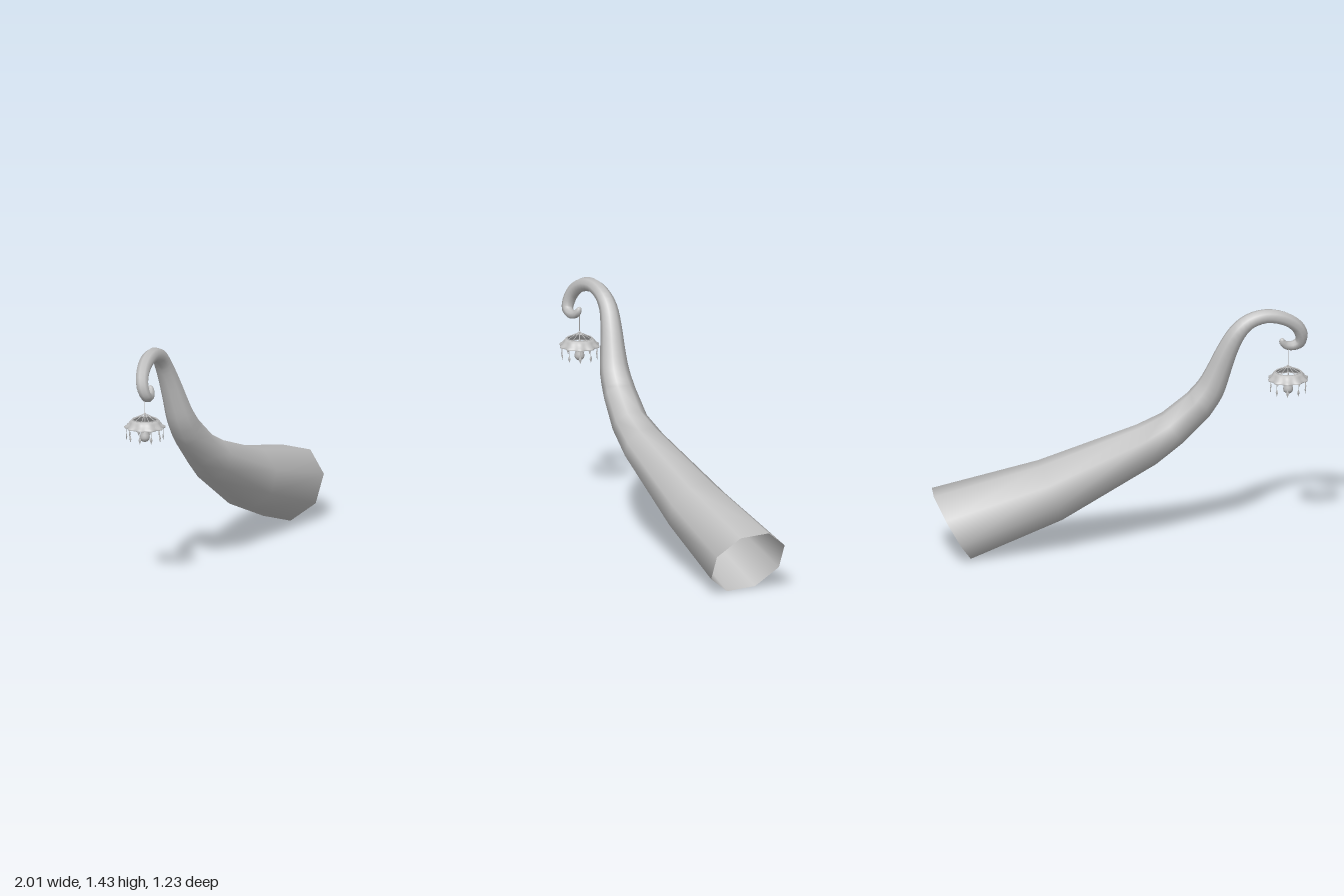
import * as THREE from 'three';

const V = (x, y, z) => new THREE.Vector3(x, y, z);

// Skin a ring of sides around a list of stations {p, r}
function hornGeometry(stations, sides, startNormal, startSide) {
  const pos = [], idx = [], u = startSide.clone();
  stations.forEach(({ p, r }, i) => {
    const prev = stations[Math.max(i - 1, 0)].p;
    const next = stations[Math.min(i + 1, stations.length - 1)].p;
    const t = i === 0 ? startNormal.clone().normalize() : next.clone().sub(prev).normalize();
    u.addScaledVector(t, -u.dot(t)).normalize();
    const v = t.clone().cross(u);
    for (let j = 0; j < sides; j++) {
      const a = (j / sides) * Math.PI * 2;
      const q = p.clone().addScaledVector(u, Math.cos(a) * r).addScaledVector(v, Math.sin(a) * r);
      pos.push(q.x, q.y, q.z);
      if (i === 0) continue;
      const k = (j + 1) % sides, lo = (i - 1) * sides, hi = i * sides;
      idx.push(lo + j, lo + k, hi + j, lo + k, hi + k, hi + j);
    }
  });
  const g = new THREE.BufferGeometry();
  g.setAttribute('position', new THREE.Float32BufferAttribute(pos, 3));
  g.setIndex(idx);
  g.computeVertexNormals();
  return g;
}

export function createModel() {
  const model = new THREE.Group();
  model.name = 'hornLantern';
  const grey = new THREE.MeshStandardMaterial({ color: 0xc0c0c0, side: THREE.DoubleSide });
  grey.name = 'grey';

  const add = (parent, name, geometry) => {
    const m = new THREE.Mesh(geometry, grey);
    m.name = name;
    parent.add(m);
    return m;
  };
  const wire = (parent, name, a, b, r) => {
    const m = add(parent, name, new THREE.CylinderGeometry(r, r, a.distanceTo(b), 6));
    m.position.copy(a).add(b).multiplyScalar(0.5);
    m.quaternion.setFromUnitVectors(V(0, 1, 0), b.clone().sub(a).normalize());
    return m;
  };

  // Horn: coarse rings on the wide trunk, fine rings around the curl (x, y, z, radius)
  const trunk = [
    [0.87, 0.205, -0.395, 0.236], [0.36, 0.38, -0.12, 0.188], [-0.13, 0.625, 0.165, 0.129],
    [-0.265, 0.72, 0.24, 0.108],
  ];
  const curl = [
    [-0.4, 0.855, 0.292, 0.096], [-0.47, 0.96, 0.318, 0.086], [-0.52, 1.08, 0.328, 0.073],
    [-0.57, 1.205, 0.335, 0.062], [-0.625, 1.31, 0.35, 0.053], [-0.685, 1.372, 0.383, 0.046],
    [-0.77, 1.399, 0.432, 0.042], [-0.86, 1.378, 0.487, 0.041], [-0.922, 1.325, 0.535, 0.039],
    [-0.942, 1.26, 0.564, 0.037], [-0.927, 1.212, 0.572, 0.033], [-0.89, 1.193, 0.555, 0.028],
    [-0.858, 1.2, 0.53, 0.024], [-0.843, 1.222, 0.513, 0.02], [-0.842, 1.24, 0.507, 0.014],
    [-0.842, 1.25, 0.505, 0.0005],
  ];
  const stations = trunk.map(([x, y, z, r]) => ({ p: V(x, y, z), r }));
  const path = new THREE.CatmullRomCurve3(curl.map(([x, y, z]) => V(x, y, z)));
  const steps = (curl.length - 1) * 3;
  for (let i = 0; i <= steps; i++) {
    const f = (i / steps) * (curl.length - 1), k = Math.min(Math.floor(f), curl.length - 2);
    stations.push({
      p: path.getPoint(i / steps),
      r: THREE.MathUtils.lerp(curl[k][3], curl[k + 1][3], f - k),
    });
  }
  add(model, 'horn', hornGeometry(stations, 8, V(-0.79, 0.49, 0.36), V(0.13, 0.19, 0.05)));

  // Lamp hanging from the curl
  const lamp = new THREE.Group();
  lamp.name = 'lamp';
  lamp.position.set(-0.88, 0, 0.505);
  model.add(lamp);
  const peak = V(0, 1.085, 0);
  wire(lamp, 'cord', peak, V(0, 1.185, 0), 0.0018);
  add(lamp, 'cordKnot', new THREE.SphereGeometry(0.006, 8, 6)).position.copy(peak);

  // Flared shade with a scalloped hem and an open top
  const lobes = 10;
  const shade = new THREE.LatheGeometry(
    [[0.113, 1.0], [0.115, 1.008], [0.1, 1.017], [0.09, 1.033], [0.08, 1.046], [0.07, 1.048]]
      .map(([r, y]) => new THREE.Vector2(r, y)), lobes * 8);
  const sp = shade.attributes.position;
  for (let i = 0; i < sp.count; i++) {
    const x = sp.getX(i), y = sp.getY(i), z = sp.getZ(i);
    const w = THREE.MathUtils.clamp((1.05 - y) / 0.045, 0, 1);
    const s = 1 + 0.05 * w * Math.cos(lobes * Math.atan2(z, x));
    sp.setXYZ(i, x * s, y, z * s);
  }
  shade.computeVertexNormals();
  add(lamp, 'shade', shade);
  const rim = add(lamp, 'shadeRim', new THREE.TorusGeometry(0.072, 0.004, 6, 40));
  rim.rotation.x = Math.PI / 2;
  rim.position.y = 1.047;

  // Support wires and hanging crystals, one per lobe
  for (let i = 0; i < lobes; i++) {
    const a = (i / lobes) * Math.PI * 2, c = Math.cos(a), s = Math.sin(a);
    wire(lamp, 'supportWire', peak, V(c * 0.072, 1.047, s * 0.072), 0.002);
    const x = c * 0.106, z = s * 0.106;
    wire(lamp, 'crystalThread', V(x, 0.97, z), V(x, 1.003, z), 0.0012);
    const crystal = add(lamp, 'crystal', new THREE.OctahedronGeometry(1, 0));
    crystal.scale.set(0.004, 0.025, 0.009);
    crystal.position.set(x, 0.948, z);
    crystal.rotation.y = -a;
  }

  // Bulb with its neck and stem
  add(lamp, 'bulb', new THREE.LatheGeometry(
    [[0, 0.914], [0.015, 0.918], [0.026, 0.929], [0.029, 0.942], [0.027, 0.957], [0.021, 0.975],
      [0.018, 0.995], [0.017, 1.012], [0, 1.014]].map(([r, y]) => new THREE.Vector2(r, y)), 20));
  wire(lamp, 'bulbStem', V(0, 1.01, 0), peak, 0.003);

  return model;
}
